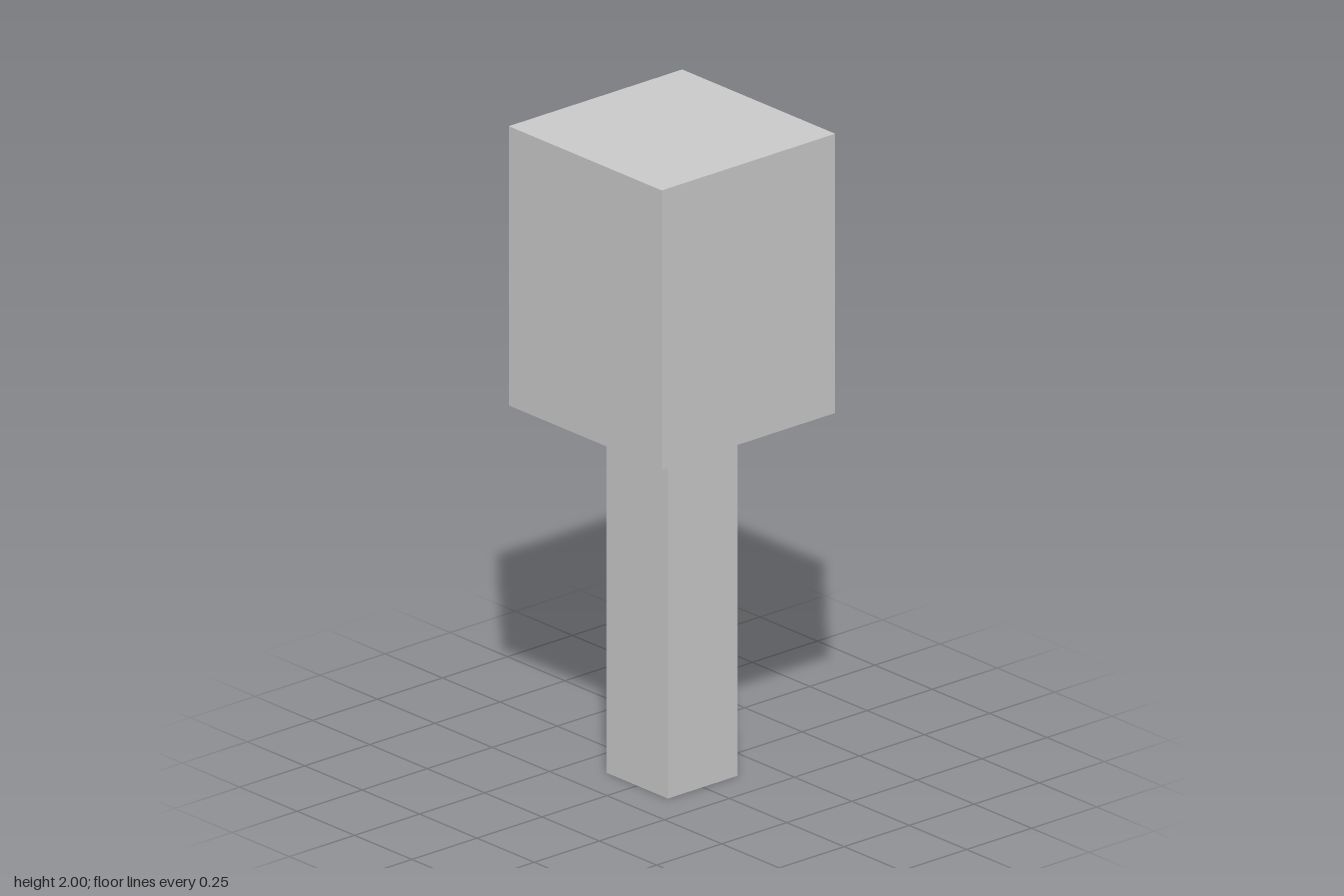
import * as THREE from 'three';

const U = 2 / 30; // modular unit: the whole model is 30 units tall

export function createModel() {
  const group = new THREE.Group();
  const material = new THREE.MeshStandardMaterial({ color: 0xcccccc, flatShading: true });

  function add(name, geometry, y = 0) {
    const mesh = new THREE.Mesh(geometry, material);
    mesh.name = name;
    mesh.position.y = y;
    group.add(mesh);
  }

  // Square handle, running up to the ceiling inside the hollow head
  const handleHeight = 29 * U;
  add('handle', new THREE.BoxGeometry(4 * U, handleHeight, 4 * U), handleHeight / 2);

  // Hollow square head, open below: a four-sided lathe of [half width, height]
  const profile = [[0, 29], [4, 29], [4, 17], [5, 17], [5, 30], [0, 30]]
    .map(([half, y]) => new THREE.Vector2(half * Math.SQRT2 * U, y * U));
  const head = new THREE.LatheGeometry(profile, 4, Math.PI / 4).toNonIndexed();
  head.computeVertexNormals();
  add('head', head);

  return group;
}
